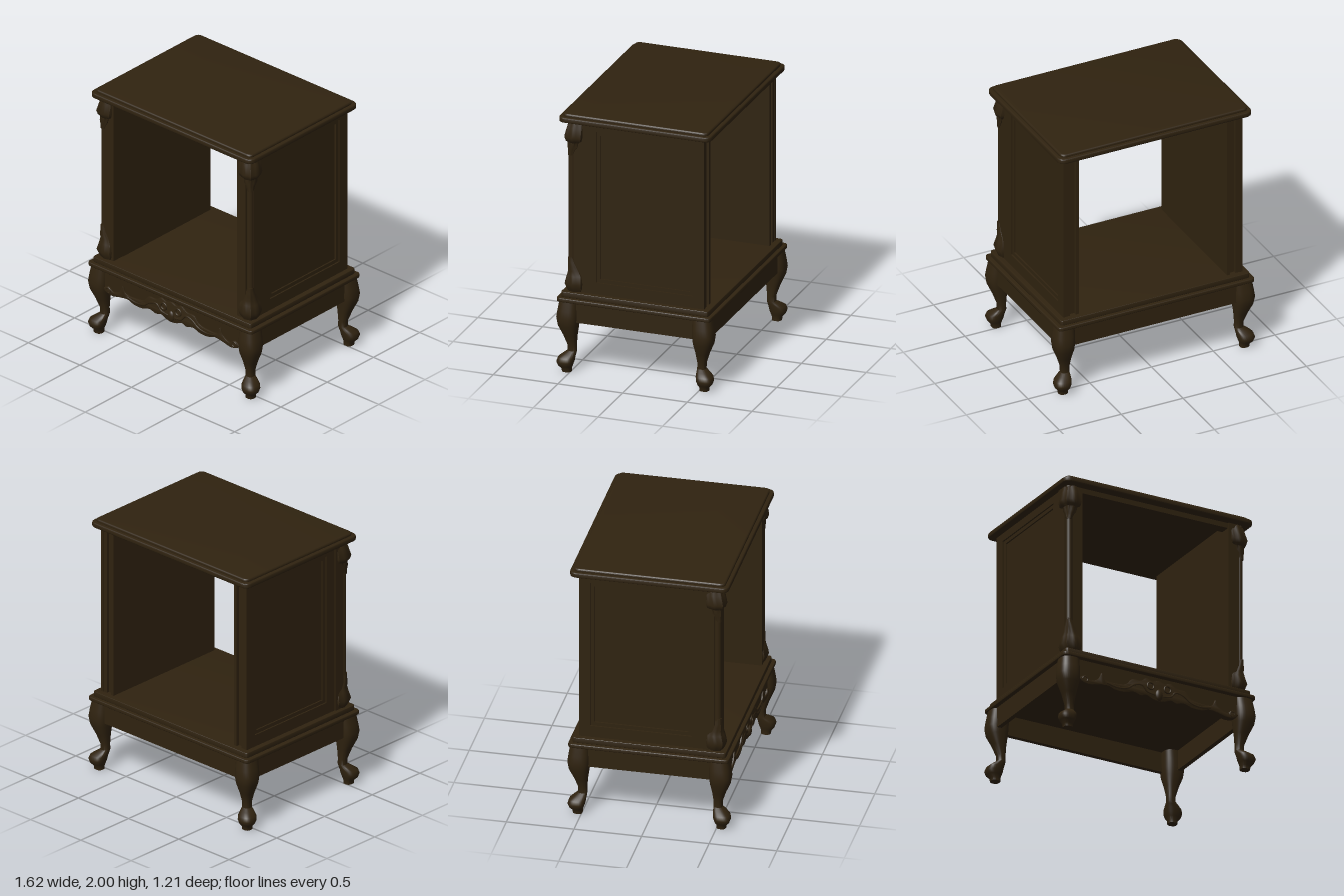
import * as THREE from 'three';
import { toCreasedNormals } from 'three/addons/utils/BufferGeometryUtils.js';

export function createModel() {
  const model = new THREE.Group();
  model.name = 'cabinet';
  const wood = new THREE.MeshStandardMaterial({ color: 0x302310 });
  wood.name = 'dark walnut';

  const add = (name, geo, parent = model) => {
    const mesh = new THREE.Mesh(geo, wood);
    mesh.name = name;
    parent.add(mesh);
    return mesh;
  };
  const box = (name, x0, x1, y0, y1, z0, z1) =>
    add(name, new THREE.BoxGeometry(Math.abs(x1 - x0), y1 - y0, z1 - z0)
      .translate((x0 + x1) / 2, (y0 + y1) / 2, (z0 + z1) / 2));

  // Horizontal board with rounded corners and softened edges
  const slab = (name, w, d, y0, y1, r, bevel) => {
    const a = w - bevel, b = d - bevel, s = new THREE.Shape();
    s.moveTo(-a + r, -b).lineTo(a - r, -b).quadraticCurveTo(a, -b, a, -b + r);
    s.lineTo(a, b - r).quadraticCurveTo(a, b, a - r, b);
    s.lineTo(-a + r, b).quadraticCurveTo(-a, b, -a, b - r);
    s.lineTo(-a, -b + r).quadraticCurveTo(-a, -b, -a + r, -b);
    const g = new THREE.ExtrudeGeometry(s, {
      depth: y1 - y0 - 2 * bevel, curveSegments: 6,
      bevelEnabled: true, bevelThickness: bevel, bevelSize: bevel, bevelSegments: 3,
    });
    g.rotateX(Math.PI / 2).translate(0, y1 - bevel, 0);
    add(name, toCreasedNormals(g, 0.6));
  };

  // Solid lofted down the corner diagonal; rings are [y, inner edge, outer edge]
  const loft = (rings, flute = 0) => {
    const n = 32, pos = [], idx = [];
    const soft = (v) => Math.sign(v) * Math.abs(v) ** 0.75;
    for (const [y, inner, outer] of rings) {
      const c = (inner + outer) / 2 - 0.6, h = (outer - inner) / 2;
      for (let j = 0; j < n; j++) {
        const t = (j / n) * Math.PI * 2, k = h * (1 - flute * (1 - Math.cos(8 * t)) / 2);
        pos.push(c + k * soft(Math.cos(t)), y, c + k * soft(Math.sin(t)));
      }
    }
    const last = rings.length - 1;
    for (const i of [0, last]) {
      const c = (rings[i][1] + rings[i][2]) / 2 - 0.6;
      pos.push(c, rings[i][0], c);
    }
    const top = rings.length * n;
    for (let j = 0; j < n; j++) {
      const k = (j + 1) % n;
      for (let i = 0; i < last; i++) {
        const a = i * n + j, b = i * n + k;
        idx.push(a, b, a + n, b, b + n, a + n);
      }
      idx.push(top, k, j, top + 1, last * n + j, last * n + k);
    }
    const g = new THREE.BufferGeometry();
    g.setAttribute('position', new THREE.Float32BufferAttribute(pos, 3));
    g.setIndex(idx);
    g.computeVertexNormals();
    return toCreasedNormals(g, 0.8);
  };

  // Top and base mouldings
  slab('topLowerMoulding', 0.782, 0.588, 1.94, 1.978, 0.05, 0.008);
  slab('topBoard', 0.755, 0.56, 1.97, 2.0, 0.03, 0.01);
  slab('baseUpperMoulding', 0.765, 0.568, 0.58, 0.62, 0.02, 0.003);
  slab('baseLowerMoulding', 0.795, 0.595, 0.55, 0.58, 0.03, 0.005);
  box('frontTopRail', -0.61, 0.61, 1.9, 1.94, 0.44, 0.52);

  // Side walls with a recessed, stepped panel
  const outline = (target, u0, u1, y0, y1) =>
    target.moveTo(u0, y0).lineTo(u1, y0).lineTo(u1, y1).lineTo(u0, y1).closePath();
  const frame = (name, side, x, depth, outer, inner) => {
    const span = ([z0, z1, y0, y1]) => (side > 0 ? [-z1, -z0, y0, y1] : [z0, z1, y0, y1]);
    const s = outline(new THREE.Shape(), ...span(outer));
    s.holes.push(outline(new THREE.Path(), ...span(inner)));
    const g = new THREE.ExtrudeGeometry(s, { depth, bevelEnabled: false });
    g.rotateY(side * Math.PI / 2).translate(side * x, 0, 0);
    add(name, g);
  };
  for (const side of [1, -1]) {
    box('sideLining', side * 0.6, side * 0.67, 0.62, 1.94, -0.5, 0.42);
    box('sidePanel', side * 0.67, side * 0.703, 0.62, 1.94, -0.522, 0.41);
    frame('sideFrame', side, 0.7, 0.025, [-0.525, 0.405, 0.62, 1.94], [-0.44, 0.31, 0.71, 1.88]);
    frame('panelMoulding', side, 0.7, 0.014, [-0.44, 0.31, 0.71, 1.88], [-0.412, 0.282, 0.738, 1.852]);
    box('backStile', side * 0.6, side * 0.625, 0.62, 1.94, -0.525, -0.49);
  }

  // Plain aprons at the sides and back
  for (const side of [1, -1]) box('sideApron', side * 0.73, side * 0.765, 0.395, 0.55, -0.46, 0.46);
  box('backApron', -0.67, 0.67, 0.395, 0.55, -0.565, -0.53);

  // Front apron with a scalloped lower edge, and raised carving over it
  const mirrored = (half) => [...half, ...half.slice().reverse().filter((p) => p[0] > 0).map(([x, y]) => [-x, y])];
  const v2 = (list) => list.map(([x, y]) => new THREE.Vector2(x, y));
  const lower = new THREE.SplineCurve(v2(mirrored([
    [0.66, 0.4], [0.63, 0.375], [0.57, 0.365], [0.5, 0.38], [0.42, 0.39], [0.36, 0.37],
    [0.28, 0.37], [0.21, 0.39], [0.15, 0.375], [0.1, 0.388], [0.05, 0.368], [0, 0.36],
  ]))).getPoints(90);
  const upper = new THREE.SplineCurve(v2(mirrored([
    [0.65, 0.41], [0.61, 0.43], [0.56, 0.4], [0.5, 0.43], [0.47, 0.485], [0.44, 0.43],
    [0.35, 0.425], [0.27, 0.44], [0.22, 0.49], [0.15, 0.495], [0.1, 0.525], [0.05, 0.51], [0, 0.525],
  ]))).getPoints(100);
  const apron = new THREE.Shape([...lower, new THREE.Vector2(-0.66, 0.55), new THREE.Vector2(0.66, 0.55)]);
  add('frontApron', new THREE.ExtrudeGeometry(apron, { depth: 0.035, bevelEnabled: false }).translate(0, 0, 0.525));
  const carving = new THREE.Shape([...lower, ...upper.slice().reverse()]);
  add('apronCarving', toCreasedNormals(new THREE.ExtrudeGeometry(carving, {
    depth: 0.006, bevelEnabled: true, bevelThickness: 0.006, bevelSize: 0.006, bevelOffset: -0.006, bevelSegments: 2,
  }).translate(0, 0, 0.56), 0.6));
  const scroll = [[0.03, 0.405], [0.1, 0.42], [0.14, 0.46], [0.2, 0.45], [0.26, 0.41], [0.34, 0.395], [0.43, 0.41]];
  for (const side of [1, -1]) {
    add('rosetteRing', new THREE.TorusGeometry(0.026, 0.007, 8, 24).translate(side * 0.07, 0.468, 0.573));
    const path = new THREE.CatmullRomCurve3(scroll.map(([x, y]) => new THREE.Vector3(side * x, y, 0.569)));
    add('carvedScroll', new THREE.TubeGeometry(path, 40, 0.008, 6));
    const curl = new THREE.TorusGeometry(0.02, 0.007, 8, 20, 4.8).translate(0.61, 0.4, 0.569);
    if (side < 0) curl.rotateY(Math.PI).translate(0, 0, 1.138);
    add('carvedCurl', curl);
  }
  add('centreShell', new THREE.SphereGeometry(1, 20, 12).scale(0.03, 0.045, 0.02).translate(0, 0.41, 0.57));

  // Cabriole leg with a ball foot
  const legGeo = loft([
    [0.55, 0.645, 0.79], [0.48, 0.645, 0.802], [0.42, 0.646, 0.81], [0.36, 0.652, 0.8],
    [0.28, 0.665, 0.765], [0.2, 0.673, 0.738], [0.155, 0.672, 0.737], [0.135, 0.673, 0.765],
    [0.11, 0.676, 0.797], [0.08, 0.68, 0.806], [0.05, 0.69, 0.795], [0.025, 0.7, 0.772], [0, 0.7, 0.77],
  ]);
  // Carved leaf clusters at the head and foot of each front post
  const headGeo = loft([
    [1.94, 0.615, 0.735], [1.89, 0.607, 0.75], [1.82, 0.607, 0.768], [1.79, 0.615, 0.758],
    [1.775, 0.64, 0.742], [1.74, 0.65, 0.742], [1.715, 0.67, 0.736], [1.675, 0.692, 0.733],
  ], 0.1);
  const footGeo = loft([
    [0.88, 0.692, 0.733], [0.84, 0.675, 0.735], [0.81, 0.655, 0.74], [0.775, 0.635, 0.74],
    [0.74, 0.615, 0.75], [0.68, 0.607, 0.766], [0.64, 0.612, 0.75], [0.62, 0.62, 0.74],
  ], 0.1);
  // Post with a notched corner that holds a slim column
  const postShape = new THREE.Shape(v2([
    [0, 0], [0.125, 0], [0.125, 0.085], [0.1, 0.085], [0.1, 0.1], [0.085, 0.1], [0.085, 0.13], [0, 0.13],
  ]));
  const postGeo = new THREE.ExtrudeGeometry(postShape, { depth: 1.32, bevelEnabled: false })
    .rotateX(Math.PI / 2).translate(0, 1.94, 0.004);
  const columnGeo = new THREE.CylinderGeometry(0.025, 0.025, 1.32, 20).translate(0.104, 1.28, 0.106);

  // Each corner repeats by quarter turns
  const corners = [['frontLeft', 1, 1, 0], ['backLeft', 1, -1, 1], ['backRight', -1, -1, 2], ['frontRight', -1, 1, 3]];
  for (const [name, sx, sz, turns] of corners) {
    const corner = new THREE.Group();
    corner.name = name + 'Corner';
    corner.position.set(sx * 0.6, 0, sz * 0.396);
    corner.rotation.y = turns * Math.PI / 2;
    model.add(corner);
    add(name + 'Leg', legGeo, corner);
    if (sz > 0) {
      add(name + 'Post', postGeo, corner);
      add(name + 'Column', columnGeo, corner);
      add(name + 'LeafHead', headGeo, corner);
      add(name + 'LeafFoot', footGeo, corner);
    }
  }
  return model;
}
